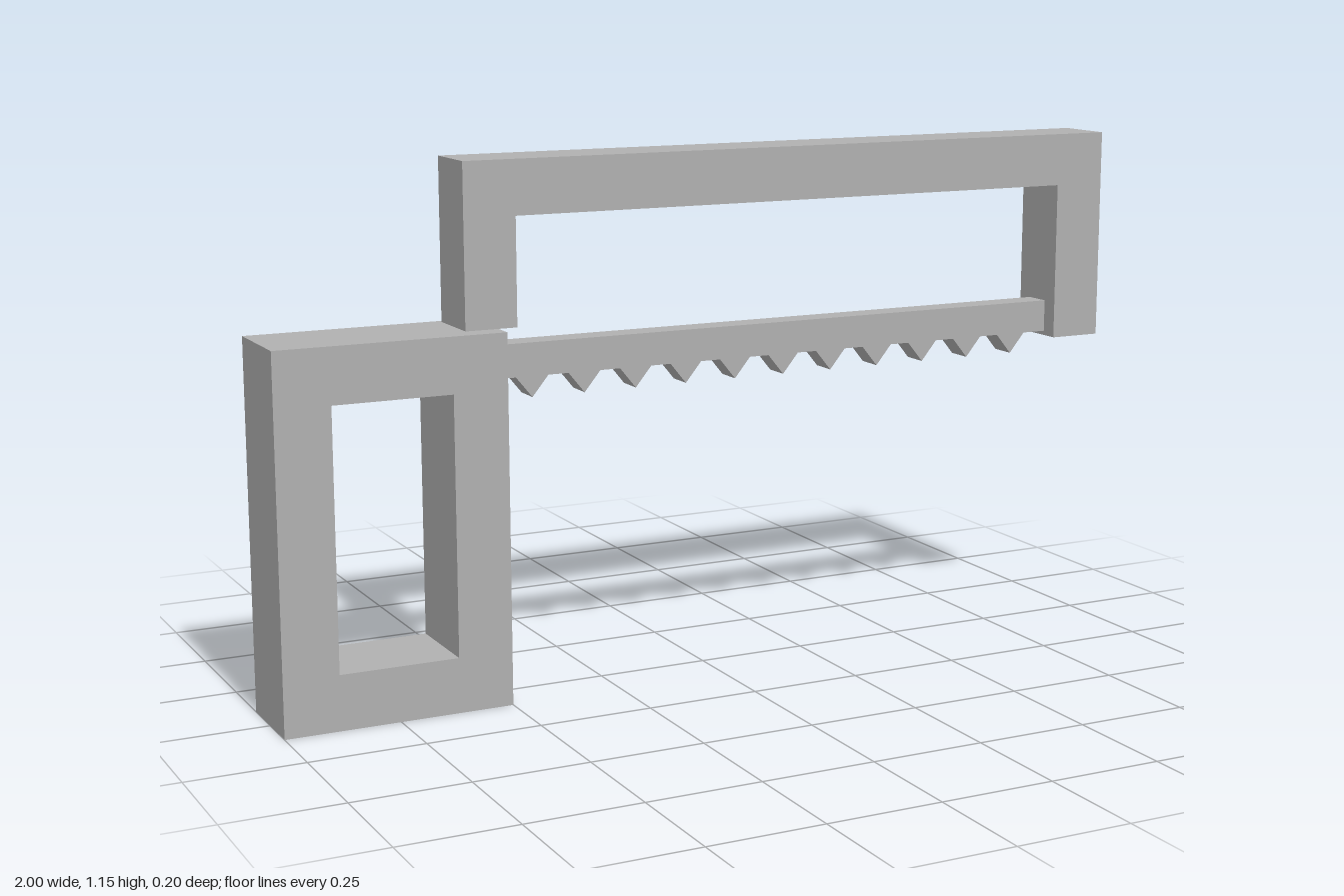
import * as THREE from 'three';

const steel = new THREE.MeshStandardMaterial({ color: 0xb0b0b0 });
steel.name = 'plain grey';

const path = (points, Type = THREE.Shape) =>
  new Type(points.map(([x, y]) => new THREE.Vector2(x, y)));

const rect = (x0, y0, x1, y1, Type) => path([[x0, y0], [x1, y0], [x1, y1], [x0, y1]], Type);

// Extrude a front outline symmetrically about z = 0
function plate(name, shape, depth) {
  const geometry = new THREE.ExtrudeGeometry(shape, { depth, bevelEnabled: false });
  geometry.translate(0, 0, -depth / 2);
  const mesh = new THREE.Mesh(geometry, steel);
  mesh.name = name;
  return mesh;
}

export function createModel() {
  const saw = new THREE.Group();
  saw.name = 'hacksaw';

  // Rectangular loop handle
  const grip = rect(-1, 0, -0.5, 0.8);
  grip.holes.push(rect(-0.88, 0.12, -0.62, 0.68, THREE.Path));
  saw.add(plate('handle', grip, 0.2));

  // Bow frame: short rear leg on the handle, long front leg
  saw.add(plate('frame', path([
    [-0.58, 0.803], [-0.465, 0.803], [-0.465, 1.035], [0.88, 1.035],
    [0.88, 0.68], [1, 0.68], [1, 1.152], [-0.58, 1.152],
  ]), 0.138));

  // Blade with a row of V-shaped teeth along its lower edge
  const edge = [[-0.5, 0.762], [-0.5, 0.69]];
  for (let i = 0; i < 11; i++) {
    const x = -0.417 + i * 0.1203;
    edge.push([x - 0.037, 0.69], [x, 0.645], [x + 0.037, 0.69]);
  }
  edge.push([0.88, 0.69], [0.88, 0.762]);
  saw.add(plate('blade', path(edge), 0.06));

  return saw;
}
